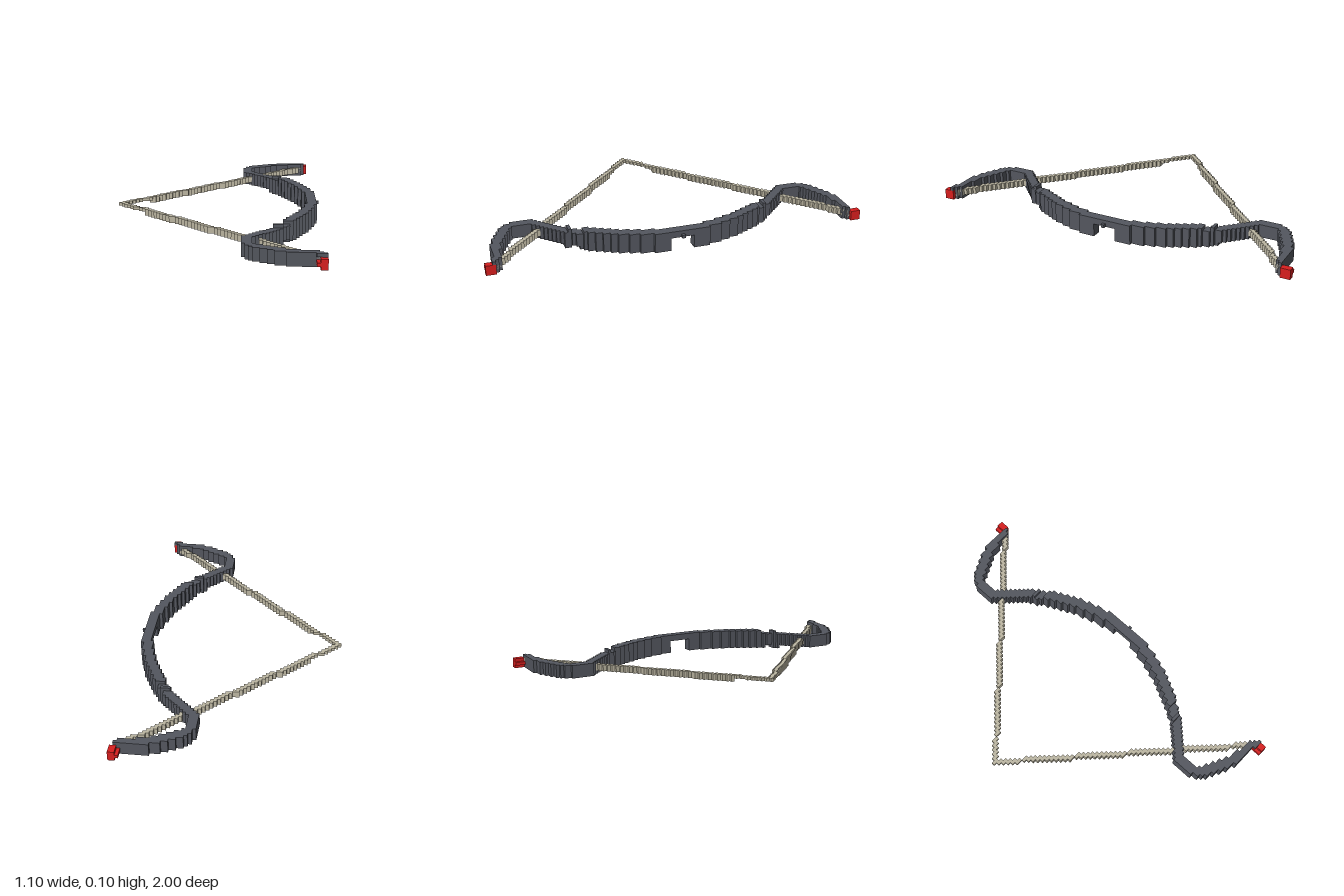
import * as THREE from 'three';
import { mergeGeometries } from 'three/addons/utils/BufferGeometryUtils.js';

const V = 2 / 115; // voxel size

const mat = (name, color) => {
  const m = new THREE.MeshStandardMaterial({ color });
  m.name = name;
  return m;
};

// Box filling voxels i0..i1 (x), j0..j1 (layers from the ground), k0..k1 (z)
function block(i0, i1, j0, j1, k0 = 0, k1 = k0) {
  const g = new THREE.BoxGeometry((i1 - i0 + 1) * V, (j1 - j0 + 1) * V, (k1 - k0 + 1) * V);
  return g.translate((i0 + i1) / 2 * V, (j0 + j1 + 1) / 2 * V, (k0 + k1) / 2 * V);
}

function addPart(group, name, blocks, material) {
  const mesh = new THREE.Mesh(mergeGeometries(blocks), material);
  mesh.name = name;
  group.add(mesh);
}

// Lowest and highest layer of the bow in slice k
function layers(k) {
  const a = Math.abs(k);
  if (a <= 3) return [4, 5]; // arrow rest notch
  const low = k > 0 ? a <= 28 || a === 31 || a === 32 : a <= 31;
  const high = a <= 27 || k === 31 || k === -30;
  return [low ? 0 : 1, high ? 5 : 4];
}

export function createModel() {
  const group = new THREE.Group();
  group.name = 'bow';
  const dark = mat('dark grey', 0x54575f);
  const cord = mat('pale cord', 0xbdb7a3);
  const red = mat('red', 0xd81e1e);

  // Recurved half of the bow in plan, as (x, z)
  const half = [[0.505, 0], [0.5, 0.1], [0.482, 0.2], [0.448, 0.3], [0.4, 0.4], [0.343, 0.5],
    [0.262, 0.6], [0.19, 0.67], [0.15, 0.74], [0.172, 0.82], [0.25, 0.875], [0.36, 0.92], [0.49, 0.945]];
  const curve = new THREE.CatmullRomCurve3(half.map(([x, z]) => new THREE.Vector3(x, 0, z)));

  // Stamp a plus-shaped brush along the curve
  const rows = new Map();
  const mark = (i, k) => {
    if (!rows.has(k)) rows.set(k, new Set());
    rows.get(k).add(i);
  };
  for (const p of curve.getPoints(400)) {
    const i = Math.round(p.x / V), k = Math.round(p.z / V);
    for (const [di, dk] of [[0, 0], [1, 0], [-1, 0], [0, 1], [0, -1]]) {
      if (k + dk >= 0 && k + dk <= 54 && i + di <= 30) mark(i + di, k + dk);
    }
  }

  // Turn each row into runs of voxels, mirrored in z
  const limbs = [];
  for (const [k, set] of rows) {
    const cells = [...set].sort((a, b) => a - b);
    let start = cells[0];
    cells.forEach((i, n) => {
      if (cells[n + 1] === i + 1) return;
      for (const s of k ? [1, -1] : [1]) {
        limbs.push(block(start, i, ...layers(s * k), s * k));
      }
      start = cells[n + 1];
    });
  }
  limbs.push(block(31, 31, 4, 4, 0)); // small sight bump
  limbs.push(block(28, 30, 4, 4, 55)); // cap over one tip
  addPart(group, 'limbs', limbs, dark);

  // Drawn string: two straight stepped halves, thicker away from the nocking point
  const string = [];
  for (let k = 0; k <= 54; k++) {
    const i = Math.round(-31 + 1.09 * k);
    for (const s of k ? [1, -1] : [1]) {
      string.push(block(i, i + 1, k < 8 ? 3 : 2, 3, s * k));
    }
  }
  addPart(group, 'string', string, cord);

  // Tips with the inner corners cut away
  for (const s of [1, -1]) {
    const tip = [block(29, 30, 1, 3, s * 55, s * 57), block(28, 28, 2, 2, s * 55, s * 57)];
    // Keep box sizes positive on the mirrored side
    if (s < 0) {
      tip[0] = block(29, 30, 1, 3, -57, -55);
      tip[1] = block(28, 28, 2, 2, -57, -55);
    }
    addPart(group, s > 0 ? 'frontTip' : 'backTip', tip, red);
  }
  return group;
}
